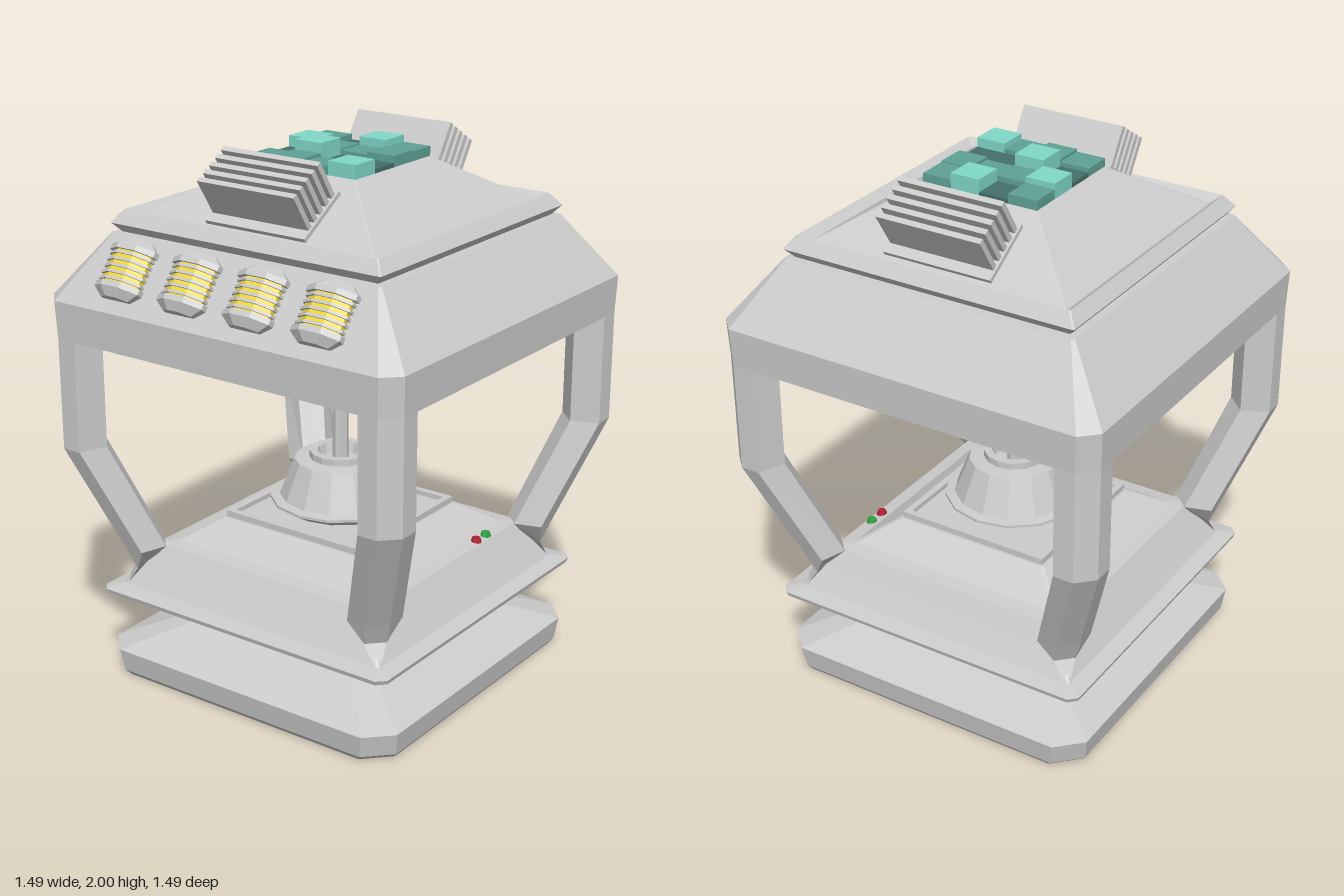
import * as THREE from 'three';

const paint = (color) => new THREE.MeshStandardMaterial({ color, flatShading: true });
const GREY = paint(0xcccccc), YELLOW = paint(0xf0d840), RED = paint(0xb02030), GREEN = paint(0x30a040);
const TEALS = [paint(0x457069), paint(0x5fa296), paint(0x80d8c8)];

function add(parent, name, geometry, material = GREY, x = 0, y = 0, z = 0) {
  const mesh = new THREE.Mesh(geometry, material);
  mesh.name = name;
  mesh.position.set(x, y, z);
  parent.add(mesh);
  return mesh;
}

// Skin a stack of rings (bottom to top) and cap both ends
function loft(rings) {
  const out = [];
  const tri = (a, b, c) => out.push(...a, ...b, ...c);
  const n = rings[0].length;
  for (let l = 0; l < rings.length - 1; l++) {
    for (let i = 0; i < n; i++) {
      const j = (i + 1) % n, lo = rings[l], hi = rings[l + 1];
      tri(lo[i], hi[i], hi[j]);
      tri(lo[i], hi[j], lo[j]);
    }
  }
  const bottom = rings[0], top = rings[rings.length - 1];
  for (let i = 1; i < n - 1; i++) {
    tri(bottom[0], bottom[i], bottom[i + 1]);
    tri(top[0], top[i + 1], top[i]);
  }
  const g = new THREE.BufferGeometry();
  g.setAttribute('position', new THREE.Float32BufferAttribute(out, 3));
  g.computeVertexNormals();
  return g;
}

// Square ring with clipped corners: height, half width, corner cut
function squareRing([y, h, c]) {
  const k = h - c;
  return [[h, -k], [h, k], [k, h], [-k, h], [-h, k], [-h, -k], [-k, -h], [k, -h]].map(([x, z]) => [x, y, z]);
}
const squareLoft = (levels) => loft(levels.map(squareRing));

const lathe = (points, sides) =>
  new THREE.LatheGeometry(points.map(([r, y]) => new THREE.Vector2(r, y)), sides);

// Flat square frame, lying horizontally
function squareFrame(outer, inner, depth) {
  const square = (Type, h) => new Type([[-h, -h], [h, -h], [h, h], [-h, h]].map((p) => new THREE.Vector2(...p)));
  const shape = square(THREE.Shape, outer);
  shape.holes.push(square(THREE.Path, inner));
  return new THREE.ExtrudeGeometry(shape, { depth, bevelEnabled: false }).rotateX(-Math.PI / 2);
}

function buildBase(root) {
  const base = new THREE.Group();
  base.name = 'base';
  root.add(base);
  add(base, 'footSlab', squareLoft([
    [0, 0.61, 0.09], [0.02, 0.625, 0.09], [0.105, 0.638, 0.09], [0.2, 0.4, 0.05],
  ]));
  add(base, 'lowerDeck', squareLoft([
    [0.19, 0.39, 0.02], [0.2, 0.4, 0.02], [0.32, 0.63, 0.03], [0.337, 0.635, 0.03],
    [0.35, 0.575, 0.01], [0.43, 0.525, 0.01], [0.5, 0.485, 0.01], [0.508, 0.43, 0.01], [0.59, 0.31, 0.01],
  ]));
  add(base, 'deckPlate', squareLoft([[0.585, 0.3, 0.005], [0.595, 0.3, 0.005]]));
  add(base, 'deckPlateRim', squareFrame(0.3, 0.275, 0.025), GREY, 0, 0.588, 0);
  [[RED, -0.215], [GREEN, -0.28]].forEach(([m, z]) =>
    add(base, 'button', new THREE.CylinderGeometry(0.016, 0.022, 0.02, 8), m, 0.462, 0.508, z));
}

// Bent corner legs whose inner side is trimmed to the deck below
function buildLegs(root) {
  const section = [[0.74, 0.605], [0.74, 0.68], [0.68, 0.74], [0.605, 0.74], [0.565, 0.64], [0.64, 0.565]];
  // height, shift toward the centre, inner trim
  const path = [
    [0.33, -0.16, 0.56], [0.36, -0.17, 0.55], [0.42, -0.175, 0.51], [0.505, -0.145, 0.43], [0.91, 0, 0], [1.4, 0, 0],
  ];
  const geometry = loft(path.map(([y, d, trim]) =>
    section.map(([x, z]) => [Math.max(x + d, trim), y, Math.max(z + d, trim)])));
  for (let i = 0; i < 4; i++) add(root, 'cornerLeg', geometry).rotation.y = i * Math.PI / 2;
}

function buildEmitter(root) {
  const emitter = new THREE.Group();
  emitter.name = 'emitter';
  root.add(emitter);
  add(emitter, 'dome', lathe([
    [0, 0.6], [0.2, 0.61], [0.26, 0.645], [0.26, 0.655], [0.225, 0.66], [0.17, 0.8],
    [0.115, 0.805], [0.115, 0.83], [0.085, 0.83], [0.075, 0.79], [0, 0.79],
  ], 14));
  add(emitter, 'rod', lathe([
    [0, 0.78], [0.03, 0.78], [0.03, 1.1], [0.043, 1.1], [0.043, 1.16], [0.052, 1.16], [0.052, 1.18],
    [0.035, 1.18], [0.035, 1.23], [0.052, 1.23], [0.052, 1.25], [0.042, 1.25], [0.042, 1.39], [0, 1.39],
  ], 8));
  add(emitter, 'ceilingFrame', squareFrame(0.215, 0.18, 0.03), GREY, 0, 1.36, 0);
}

function buildCanopy(root) {
  const canopy = new THREE.Group();
  canopy.name = 'canopy';
  root.add(canopy);
  // Starts at the raised ceiling, then runs out to the rim and up the outside
  add(canopy, 'hood', squareLoft([
    [1.38, 0.2, 0.005], [1.305, 0.565, 0.01], [1.32, 0.74, 0.06], [1.46, 0.745, 0.06],
    [1.685, 0.57, 0.01], [1.69, 0.52, 0.01],
  ]));
  add(canopy, 'collar', squareLoft([
    [1.685, 0.54, 0.005], [1.72, 0.57, 0.005], [1.765, 0.535, 0.005],
    [1.74, 0.5, 0.005], [1.915, 0.225, 0.005],
  ]));

  // Blocks of uneven height and shade, listed from back row to front row
  const tops = [
    [1.95, 1.93, 1.975, 1.95], [1.97, 1.95, 1.945, 1.955],
    [1.93, 1.99, 1.93, 1.93], [1.945, 1.955, 1.945, 1.965],
  ];
  const step = 0.1125;
  tops.forEach((row, r) => row.forEach((top, c) => {
    const h = top - 1.9;
    const shade = top > 1.96 ? 2 : top > 1.94 ? 1 : 0;
    add(canopy, 'crystalBlock', new THREE.BoxGeometry(step, h, step), TEALS[shade],
      (c - 1.5) * step, 1.9 + h / 2, (r - 1.5) * step);
  }));

  // Finned vents on the front and back roof slopes
  for (const turn of [0, Math.PI]) {
    const side = new THREE.Group(), vent = new THREE.Group();
    side.name = 'roofVent';
    side.rotation.y = turn;
    vent.position.set(0, 1.815, 0.383);
    vent.rotation.x = 0.567;
    side.add(vent);
    canopy.add(side);
    add(vent, 'ventPlate', new THREE.BoxGeometry(0.42, 0.03, 0.23));
    for (let i = 0; i < 5; i++) {
      add(vent, 'ventFin', new THREE.BoxGeometry(0.405, 0.16, 0.02), GREY, 0, 0.082, -0.086 + i * 0.038);
    }
  }
}

// Flattened banded coils lying on the front slope of the hood
function buildCoils(root) {
  const disc = (r0, r1, h) => new THREE.CylinderGeometry(r1, r0, h, 8).rotateY(Math.PI / 8);
  for (const x of [-0.42, -0.14, 0.14, 0.42]) {
    const coil = new THREE.Group();
    coil.name = 'coil';
    coil.position.set(x, 1.585, 0.647);
    coil.rotation.x = -0.66;
    coil.scale.set(1, 1, 0.65);
    root.add(coil);
    add(coil, 'coilCore', disc(0.09, 0.09, 0.16), YELLOW);
    for (let i = 0; i < 5; i++) add(coil, 'coilRing', disc(0.1, 0.1, 0.01), GREY, 0, -0.048 + i * 0.024);
    for (const s of [-1, 1]) {
      add(coil, 'coilCap', disc(0.106, 0.106, 0.02), GREY, 0, s * 0.07);
      add(coil, 'coilCapBevel', s > 0 ? disc(0.106, 0.065, 0.03) : disc(0.065, 0.106, 0.03), GREY, 0, s * 0.094);
    }
  }
}

export function createModel() {
  const root = new THREE.Group();
  root.name = 'lanternMachine';
  buildBase(root);
  buildLegs(root);
  buildEmitter(root);
  buildCanopy(root);
  buildCoils(root);
  return root;
}
